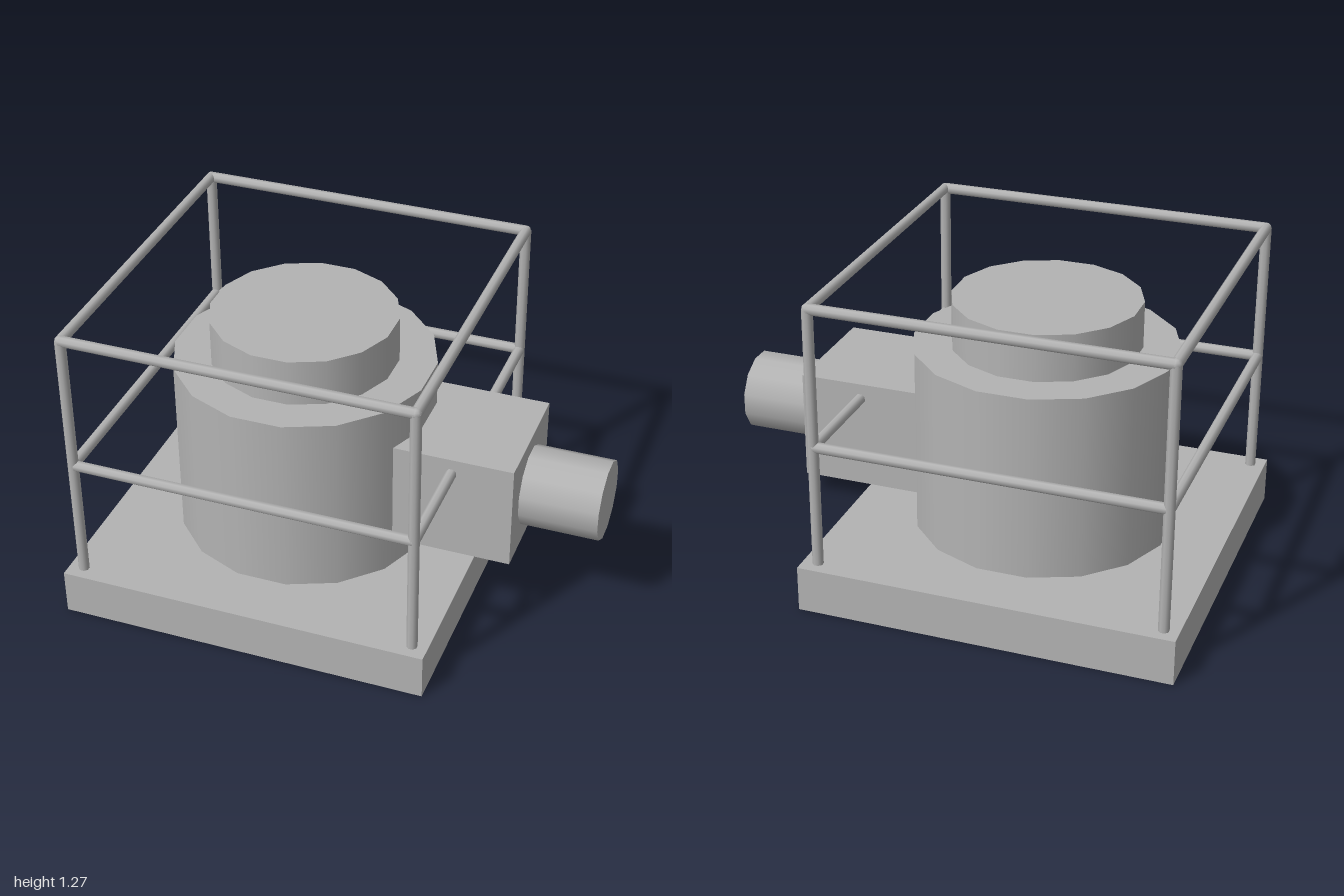
import * as THREE from 'three';

export function createModel() {
  const model = new THREE.Group();
  const grey = new THREE.MeshStandardMaterial({ color: 0xb3b3b3 });
  grey.name = 'light grey';

  const add = (name, geometry, x, y, z, parent = model) => {
    const mesh = new THREE.Mesh(geometry, grey);
    mesh.name = name;
    mesh.position.set(x, y, z);
    parent.add(mesh);
    return mesh;
  };
  // Cylinder given by its distance to the flats, with a flat facing each axis
  const drum = (flat, height, sides) =>
    new THREE.CylinderGeometry(flat / Math.cos(Math.PI / sides), flat / Math.cos(Math.PI / sides), height, sides)
      .rotateY(Math.PI / sides);

  // Base slab and stepped round body
  add('base', new THREE.BoxGeometry(1.5, 0.186, 1.5), -0.25, 0.093, 0);
  add('body', drum(0.515, 0.754, 16), -0.25, 0.563, 0);
  add('cap', drum(0.367, 0.19, 16), -0.25, 1.035, 0);

  // Side housing with its outlet pipe
  add('sideHousing', new THREE.BoxGeometry(0.5, 0.438, 0.5), 0.435, 0.534, 0);
  add('outletPipe', drum(0.156, 0.32, 12).rotateZ(Math.PI / 2), 0.84, 0.53, 0);

  // Guard rail around the base
  const railing = new THREE.Group();
  railing.name = 'railing';
  model.add(railing);
  const [x0, x1, zr, r] = [-0.94, 0.438, 0.69, 0.02];
  const [midY, topY] = [0.69, 1.252];
  const bar = (name, a, b) => {
    const from = new THREE.Vector3(...a), to = new THREE.Vector3(...b);
    const dir = to.clone().sub(from);
    const mesh = add(name, drum(r, dir.length(), 8), ...from.add(to).multiplyScalar(0.5), railing);
    mesh.quaternion.setFromUnitVectors(new THREE.Vector3(0, 1, 0), dir.normalize());
  };

  for (const z of [-zr, zr]) {
    for (const x of [x0, x1]) {
      bar('post', [x, 0.18, z], [x, topY, z]);
      add('cornerJoint', new THREE.SphereGeometry(r * 1.08, 8, 6), x, topY, z, railing);
    }
    bar('topRail', [x0, topY, z], [x1, topY, z]);
    bar('middleRail', [x0, midY, z], [x1, midY, z]);
    // The middle rail on the housing side is interrupted by the housing
    bar('shortMiddleRail', [x1, midY, z], [x1, midY, Math.sign(z) * 0.24]);
  }
  for (const x of [x0, x1]) bar('topRail', [x, topY, -zr], [x, topY, zr]);
  bar('middleRail', [x0, midY, -zr], [x0, midY, zr]);

  return model;
}
